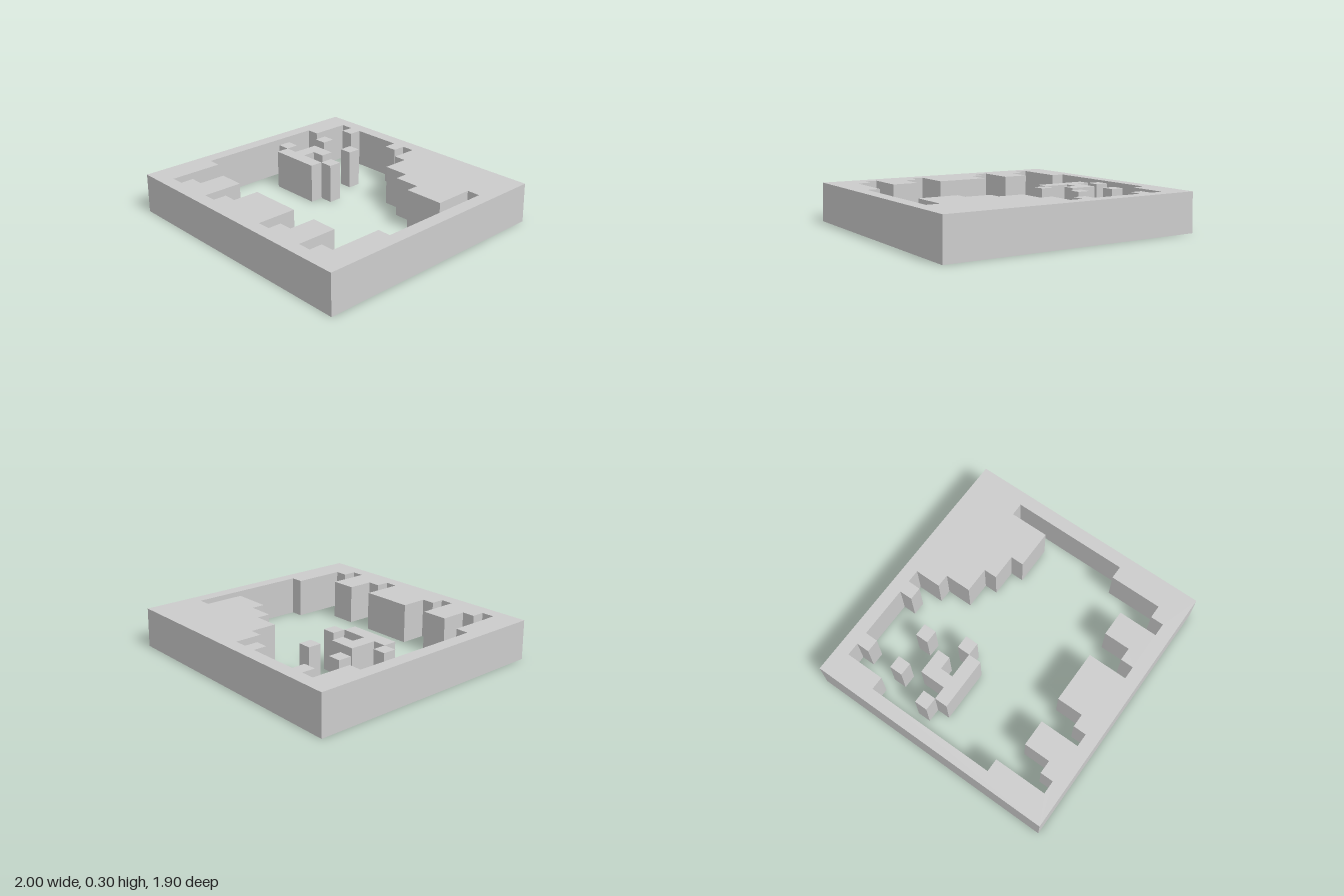
import * as THREE from 'three';

const HEIGHT = 0.297;

// Stepped outline: corners alternate between a move in x and a move in z.
function stepped(x, z, moves) {
  const points = [new THREE.Vector2(x, -z)];
  moves.forEach((m, i) => {
    if (i % 2 === 0) x = m;
    else z = m;
    points.push(new THREE.Vector2(x, -z));
  });
  return points;
}

export function createModel() {
  const group = new THREE.Group();
  const material = new THREE.MeshStandardMaterial({ color: 0xcccccc, flatShading: true });

  // Upright slab cut from a plan outline, with a very slight draft toward the top.
  // Outlines run counter-clockwise and holes clockwise, so all walls face outward.
  function addSlab(name, outline, hole) {
    const shape = new THREE.Shape(outline);
    if (hole) shape.holes.push(new THREE.Path(hole));
    const geometry = new THREE.ExtrudeGeometry(shape, { depth: HEIGHT, bevelEnabled: false });
    geometry.rotateX(-Math.PI / 2);
    const p = geometry.attributes.position;
    for (let i = 0; i < p.count; i++) {
      const t = p.getY(i) / HEIGHT;
      p.setX(i, p.getX(i) * (1 - 0.006 * t) - 0.002 * t);
      p.setZ(i, p.getZ(i) * (1 - 0.004 * t) + 0.001 * t);
    }
    geometry.computeVertexNormals();
    const mesh = new THREE.Mesh(geometry, material);
    mesh.name = name;
    group.add(mesh);
  }

  // Frame with the animal silhouette cut through it.
  const silhouette = stepped(-0.8, -0.85, [
    // ears and head
    -0.7, -0.75, -0.6, -0.85, -0.2, -0.75, -0.1, -0.85, 0, -0.65,
    // sloping back and tail
    0.1, -0.45, 0.3, -0.35, 0.5, -0.25, 0.8, -0.55, 0.9, 0.35,
    // legs and feet
    0.8, 0.75, 0.7, 0.85, 0.6, 0.55, 0.4, 0.75, 0.3, 0.85, 0.2, 0.55,
    -0.2, 0.75, -0.3, 0.85, -0.4, 0.55, -0.6, 0.75, -0.7, 0.85,
    // chest and cheek
    -0.8, 0.45, -0.9, -0.55, -0.8,
  ]);
  addSlab('frame', stepped(-1, 0.95, [1, -0.95, -1]), silhouette);

  // Loose square posts of the face.
  const posts = [
    ['rightEye', -0.7, -0.55], ['leftEye', -0.4, -0.55],
    ['rightMouthCorner', -0.8, -0.25], ['leftMouthCorner', -0.3, -0.25],
  ];
  for (const [name, x, z] of posts) {
    addSlab(name, stepped(x, z + 0.1, [x + 0.1, z, x]));
  }

  // Nose joined to the mouth.
  addSlab('noseAndMouth', stepped(-0.7, -0.05, [
    -0.3, -0.15, -0.5, -0.25, -0.4, -0.35, -0.6, -0.15, -0.7,
  ]));

  return group;
}
